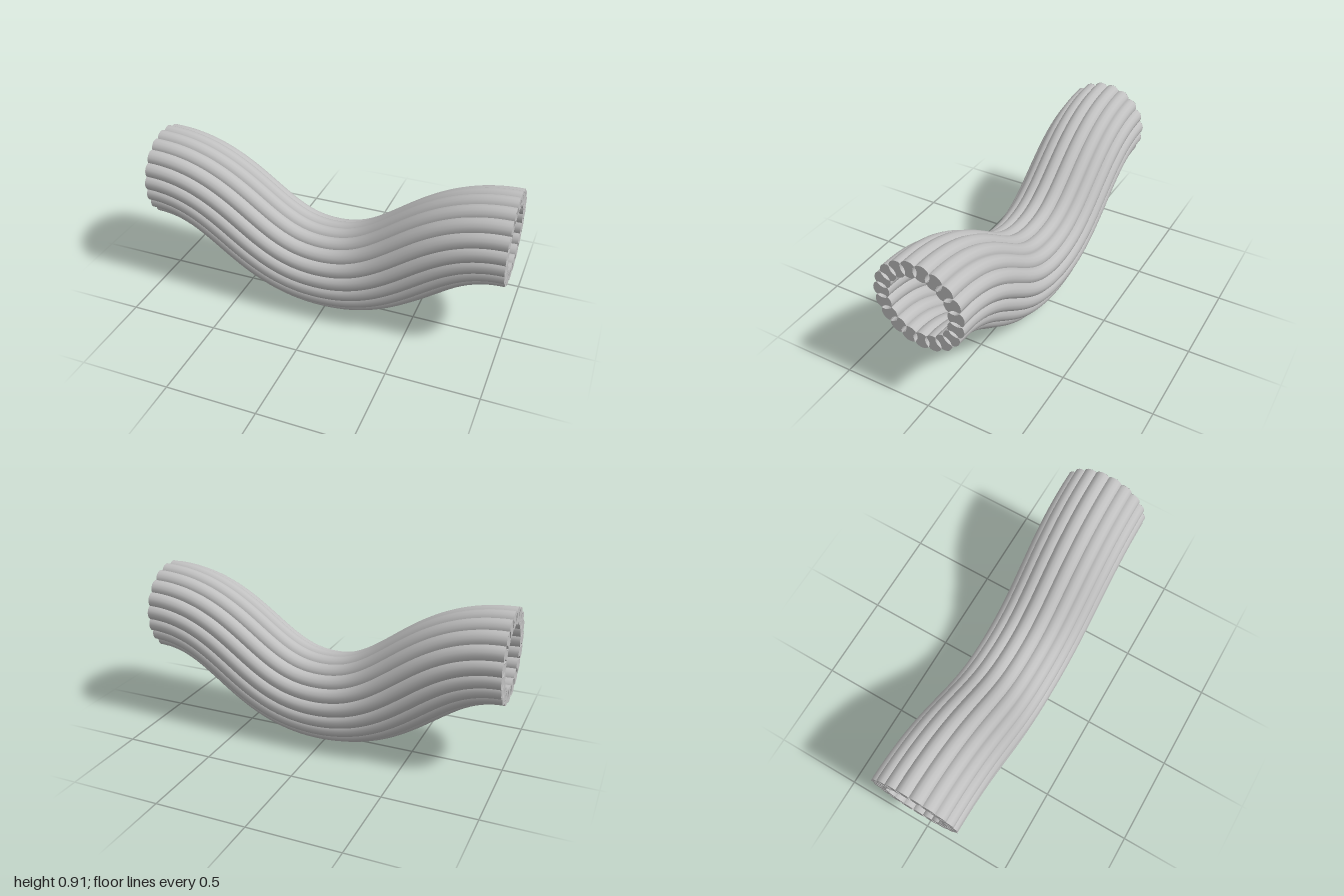
import * as THREE from 'three';

const STRANDS = 19;
const STEP = (Math.PI * 2) / STRANDS;
const RING = 0.207; // radius of the ring of strand centres
const R = 0.0458; // radius of one strand
const HIGH = 0.657; // height of the centre line at the ends
const LOW = 0.253; // height of the centre line in the dip
const HANDLE = 0.45;

const v = (x, y) => new THREE.Vector2(x, y);
const half = new THREE.CubicBezierCurve(v(0, LOW), v(HANDLE, LOW), v(1 - HANDLE, HIGH), v(1, HIGH));

// Wavy centre line, shifted sideways by the strand's place in the ring
class StrandCurve extends THREE.Curve {
  constructor(angle) {
    super();
    this.up = Math.sin(angle) * RING;
    this.side = -Math.cos(angle) * RING;
  }
  getPoint(t, target = new THREE.Vector3()) {
    const s = t * 2 - 1;
    const sign = s < 0 ? -1 : 1;
    const p = half.getPoint(Math.abs(s));
    const d = half.getTangent(Math.abs(s));
    return target.set(sign * (p.x - d.y * this.up), p.y + d.x * this.up, this.side);
  }
  getTangent(t, target = new THREE.Vector3()) {
    const s = t * 2 - 1;
    const d = half.getTangent(Math.abs(s));
    return target.set(d.x, s < 0 ? -d.y : d.y, 0);
  }
}

// End face of a strand: a disc with the overlaps with both neighbours left open
function capShape(angle) {
  const cx = Math.cos(angle) * RING;
  const cy = Math.sin(angle) * RING;
  const points = [];
  for (let i = 0; i < 28; i++) {
    const a = angle + (i / 28) * Math.PI * 2;
    let x = cx + Math.cos(a) * R;
    let y = cy + Math.sin(a) * R;
    let off = Math.atan2(y, x) - angle;
    off = Math.atan2(Math.sin(off), Math.cos(off));
    if (Math.abs(off) > STEP / 2) {
      // mirror the point over the line between the two strands
      const turned = angle + Math.sign(off) * STEP - off;
      const len = Math.hypot(x, y);
      x = Math.cos(turned) * len;
      y = Math.sin(turned) * len;
    }
    points.push(v(x, y));
  }
  return new THREE.Shape(points);
}

export function createModel() {
  const group = new THREE.Group();
  const grey = new THREE.MeshStandardMaterial({ color: 0xc0c0c0, side: THREE.DoubleSide });
  grey.name = 'light grey';

  // Strands that make up the wall of the hose
  const shapes = [];
  for (let i = 0; i < STRANDS; i++) {
    const angle = -Math.PI / 2 + i * STEP;
    const strand = new THREE.Mesh(new THREE.TubeGeometry(new StrandCurve(angle), 64, R, 14), grey);
    strand.name = 'strand' + (i + 1);
    group.add(strand);
    shapes.push(capShape(angle));
  }

  // Faces at both ends
  for (const side of [1, -1]) {
    const caps = new THREE.Mesh(new THREE.ShapeGeometry(shapes), grey);
    caps.name = side > 0 ? 'leftEndFaces' : 'rightEndFaces';
    caps.rotation.y = (side * Math.PI) / 2;
    caps.position.set(side, HIGH, 0);
    group.add(caps);
  }
  return group;
}
